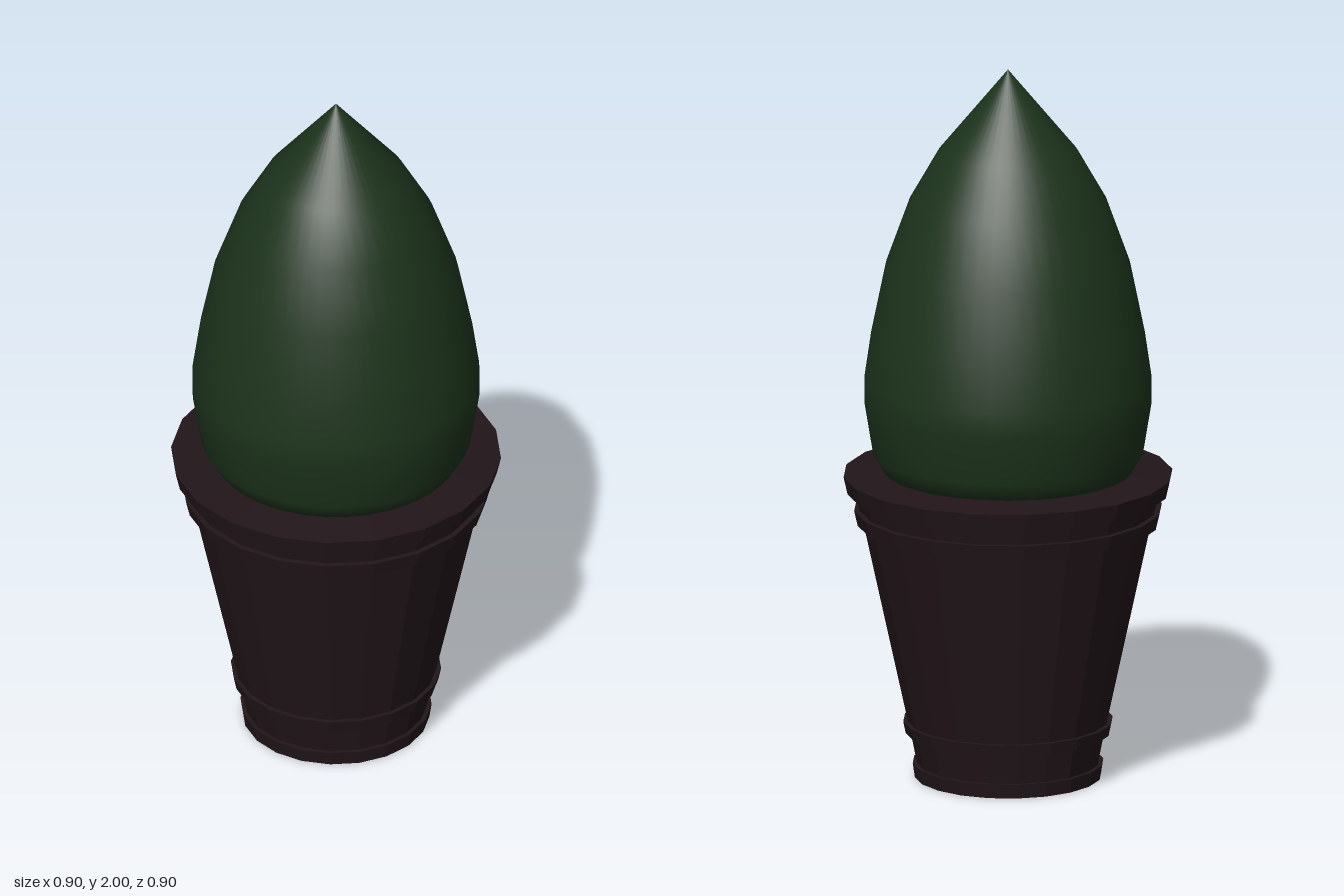
import * as THREE from 'three';

// Closed surface of revolution from [radius, height] pairs, bottom to top
function lathe(name, profile, sides, color, flatShading) {
  const points = profile.map(([r, y]) => new THREE.Vector2(r, y));
  const material = new THREE.MeshStandardMaterial({ color, flatShading });
  const mesh = new THREE.Mesh(new THREE.LatheGeometry(points, sides), material);
  mesh.name = name;
  return mesh;
}

export function createModel() {
  const group = new THREE.Group();
  group.name = 'pottedTopiary';

  // Tapered pot with a foot, two raised bands and a rim
  group.add(lathe('pot', [
    [0, 0.005], [0.256, 0.005], [0.262, 0.045], [0.25, 0.045], // foot
    [0.267, 0.13], [0.281, 0.13], [0.288, 0.163], [0.275, 0.163], // lower band
    [0.396, 0.72], [0.413, 0.72], [0.423, 0.762], [0.407, 0.762], // upper band
    [0.418, 0.81], [0.441, 0.81], [0.452, 0.858], // rim
    [0.34, 0.87], [0, 0.87],
  ], 20, 0x211519, true));

  // Pointed, egg-shaped clipped bush
  group.add(lathe('bush', [
    [0, 0.8], [0.22, 0.81], [0.34, 0.87], [0.37, 0.92], [0.393, 1.06],
    [0.393, 1.13], [0.374, 1.26], [0.335, 1.45], [0.27, 1.63],
    [0.19, 1.77], [0, 2],
  ], 48, 0x1c331b, false));

  return group;
}
